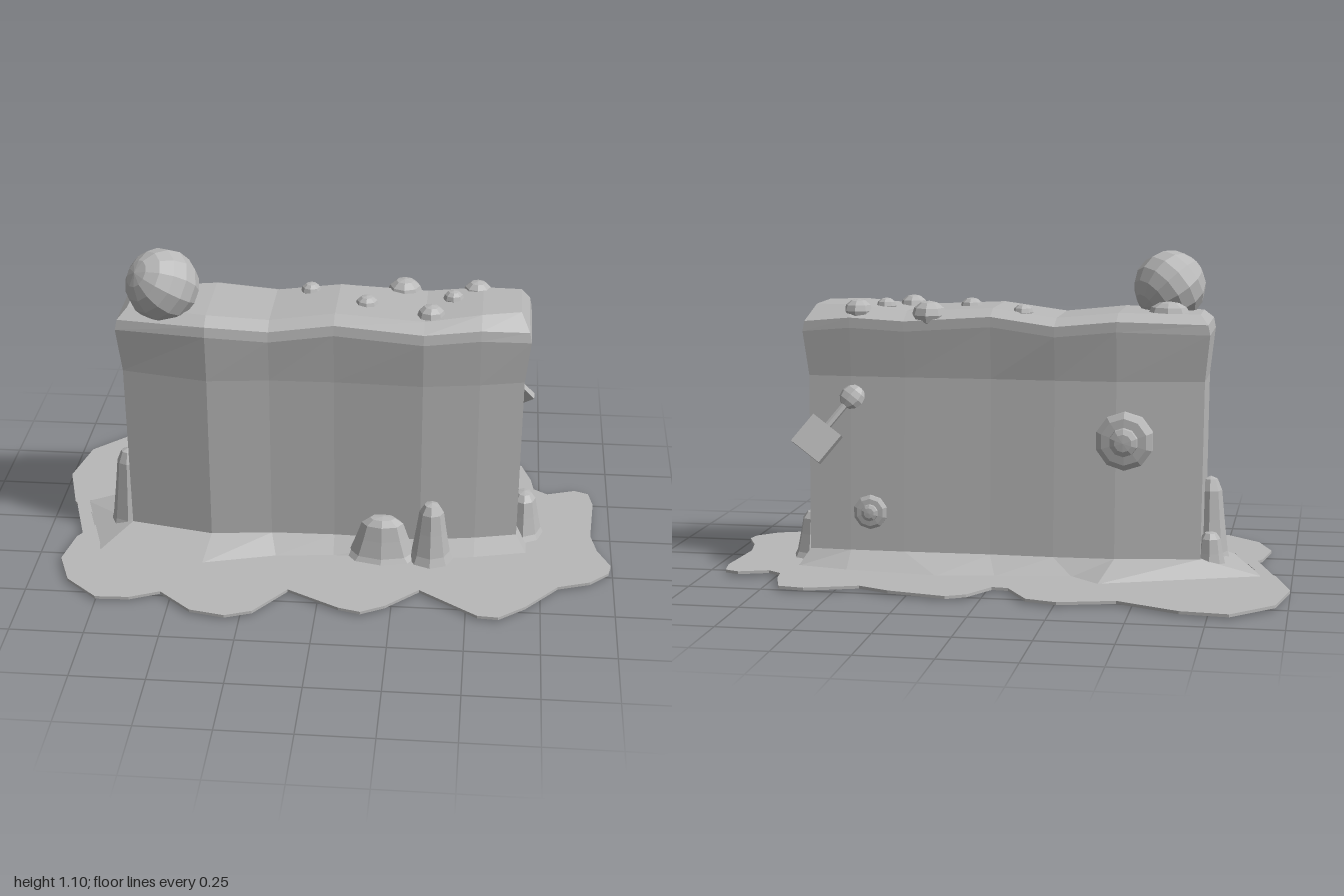
import * as THREE from 'three';

export function createModel() {
  const model = new THREE.Group();
  const grey = new THREE.MeshStandardMaterial({ color: 0xb8b8b8, flatShading: true, side: THREE.DoubleSide });

  function add(name, geometry, position = [0, 0, 0], scale = [1, 1, 1], rotation = [0, 0, 0], parent = model) {
    const mesh = new THREE.Mesh(geometry, grey);
    mesh.name = name;
    mesh.position.set(...position);
    mesh.scale.set(...scale);
    mesh.rotation.set(...rotation);
    parent.add(mesh);
    return mesh;
  }

  // Wall stations: x, front z, back z, brow height, top height
  const stations = [
    [-0.69, 0.13, -0.12, 0.84, 0.905],
    [-0.40, 0.19, -0.165, 0.85, 0.91],
    [-0.19, 0.165, -0.17, 0.83, 0.89],
    [0.03, 0.16, -0.165, 0.86, 0.92],
    [0.33, 0.17, -0.17, 0.84, 0.905],
    [0.52, 0.14, -0.17, 0.85, 0.925],
    [0.665, 0.105, -0.165, 0.835, 0.925],
  ];
  // Flared foot where the wall meets the puddle: x, z
  const footFront = [[-0.79, 0.24], [-0.42, 0.3], [-0.17, 0.23], [0.03, 0.21], [0.33, 0.21], [0.52, 0.18], [0.7, 0.135]];
  const footBack = [[-0.9, -0.1], [-0.36, -0.305], [-0.26, -0.21], [0.0, -0.245], [0.2, -0.275], [0.52, -0.24], [0.7, -0.2]];
  const foot = [...footFront, ...footBack.slice().reverse()];

  // One closed ring around the wall; ends are pushed outward, sides moved by dz
  const n = stations.length;
  function ring(height, endOut, frontOut, backOut) {
    const side = (front) => stations.map((s, i) => [
      s[0] + (i === 0 ? -endOut : i === n - 1 ? endOut : 0),
      height(s),
      front ? s[1] + frontOut : s[2] - backOut,
    ]);
    return [...side(true), ...side(false).reverse()];
  }
  const rings = [
    foot.map(([x, z]) => [x, 0.018, z]),
    ring(() => 0.075, 0, 0, 0),
    ring(() => 0.68, 0.005, 0.025, -0.03),
    ring((s) => s[3], 0.022, 0.045, -0.01),
    ring((s) => s[3] + 0.035, 0.015, 0.04, -0.01),
    ring((s) => s[4], -0.015, -0.005, -0.07),
  ];
  const count = 2 * n;
  const index = [];
  for (let r = 0; r < rings.length - 1; r++) {
    for (let j = 0; j < count; j++) {
      const a = r * count + j, b = r * count + (j + 1) % count;
      index.push(a, b, b + count, a, b + count, a + count);
    }
  }
  const top = (rings.length - 1) * count;
  for (let j = 0; j < n - 1; j++) {
    const a = top + j, b = a + 1, d = top + count - 1 - j, c = d - 1;
    index.push(a, b, c, a, c, d);
  }
  let wall = new THREE.BufferGeometry();
  wall.setAttribute('position', new THREE.Float32BufferAttribute(rings.flat(2), 3));
  wall.setIndex(index);
  wall = wall.toNonIndexed();
  wall.computeVertexNormals();
  add('wall', wall);

  // Wavy puddle outline: x, z
  const outline = [
    [-0.82, -0.645], [-0.66, -0.63], [-0.45, -0.53], [-0.26, -0.58], [-0.155, -0.55], [-0.075, -0.415],
    [-0.02, -0.41], [0.045, -0.525], [0.11, -0.56], [0.31, -0.515], [0.42, -0.465], [0.595, -0.525],
    [0.685, -0.51], [0.72, -0.4], [0.73, -0.33], [0.78, -0.295], [0.88, -0.33], [0.93, -0.31],
    [0.945, -0.23], [0.93, 0], [0.95, 0.1], [0.995, 0.2], [0.985, 0.25], [0.92, 0.315],
    [0.81, 0.355], [0.7, 0.49], [0.61, 0.565], [0.54, 0.56], [0.34, 0.415], [0.23, 0.525],
    [0.15, 0.57], [0.075, 0.55], [-0.105, 0.45], [-0.21, 0.595], [-0.3, 0.63], [-0.42, 0.605],
    [-0.535, 0.5], [-0.635, 0.545], [-0.75, 0.55], [-0.865, 0.445], [-0.915, 0.31], [-0.89, 0.16],
    [-0.82, 0.04], [-0.945, -0.09], [-1, -0.295], [-0.96, -0.5],
  ];
  const toVec = ([x, z]) => new THREE.Vector2(x, -z);
  const puddleShape = new THREE.Shape(outline.map(toVec));
  puddleShape.holes.push(new THREE.Path(foot.map(toVec)));
  const puddle = new THREE.ExtrudeGeometry(puddleShape, { depth: 0.01, bevelEnabled: false });
  puddle.rotateX(-Math.PI / 2);
  add('puddle', puddle, [0, 0.01, 0]);

  // Pointed mounds around the foot
  const moundProfile = [[1, 0], [0.78, 0.2], [0.62, 0.55], [0.5, 0.85], [0.3, 0.97], [0, 1]]
    .map(([x, y]) => new THREE.Vector2(x, y));
  const mound = new THREE.LatheGeometry(moundProfile, 8);
  [
    [0.2, 0.19, 0.145, 0.17, 0.085],
    [0.37, 0.195, 0.085, 0.235, 0.085],
    [0.69, -0.02, 0.08, 0.18, 0.1],
    [-0.71, 0.06, 0.08, 0.33, 0.08],
    [-0.72, -0.07, 0.07, 0.16, 0.07],
  ].forEach(([x, z, rx, h, rz]) => add('mound', mound, [x, 0.003, z], [rx, h, rz]));

  // Ball and the small bump beside it
  add('ball', new THREE.SphereGeometry(0.125, 12, 8), [-0.555, 0.985, 0.115], [1, 1, 1], [0.5, 0.3, 0.75]);
  const bump = new THREE.SphereGeometry(1, 8, 6);
  add('ballBump', bump, [-0.565, 0.905, -0.02], [0.07, 0.04, 0.05]);

  // Bumps along the top
  [
    [-0.07, 0.905, -0.07, 0.035], [0.13, 0.91, 0.045, 0.04], [0.25, 0.895, -0.11, 0.06],
    [0.42, 0.915, -0.02, 0.035], [0.35, 0.905, 0.11, 0.048], [0.5, 0.905, -0.105, 0.05],
  ].forEach(([x, y, z, r]) => add('topBump', bump, [x, y, z], [r, r * 0.8, r]));

  // Stepped round knobs on the back
  const knobProfile = [[1, -0.3], [1, 0.1], [0.8, 0.28], [0.5, 0.32], [0.48, 0.5], [0.3, 0.62], [0, 0.65]]
    .map(([x, y]) => new THREE.Vector2(x, y));
  const knob = new THREE.LatheGeometry(knobProfile, 10);
  add('largeKnob', knob, [-0.43, 0.48, -0.15], [0.1, 0.08, 0.1], [-Math.PI / 2, 0, 0]);
  add('smallKnob', knob, [0.45, 0.21, -0.165], [0.06, 0.045, 0.06], [-Math.PI / 2, 0, 0]);

  // Paddle hanging from the back: its y axis follows the handle, z is the blade normal
  const paddle = new THREE.Group();
  paddle.name = 'paddle';
  const along = new THREE.Vector3(-0.11, 0.14, 0.065).normalize();
  const across = new THREE.Vector3().crossVectors(along, new THREE.Vector3(0, 0.43, -0.9)).normalize();
  const normal = new THREE.Vector3().crossVectors(across, along);
  paddle.quaternion.setFromRotationMatrix(new THREE.Matrix4().makeBasis(across, along, normal));
  paddle.position.set(0.625, 0.47, -0.215);
  add('blade', new THREE.BoxGeometry(0.13, 0.12, 0.025), [0, 0, 0], [1, 1, 1], [0, 0, 0], paddle);
  add('handle', new THREE.CylinderGeometry(0.012, 0.012, 0.16, 6), [0, 0.12, 0], [1, 1, 1], [0, 0, 0], paddle);
  add('handleEnd', bump, [0, 0.19, 0], [0.045, 0.045, 0.025], [0, 0, 0], paddle);
  model.add(paddle);

  return model;
}
